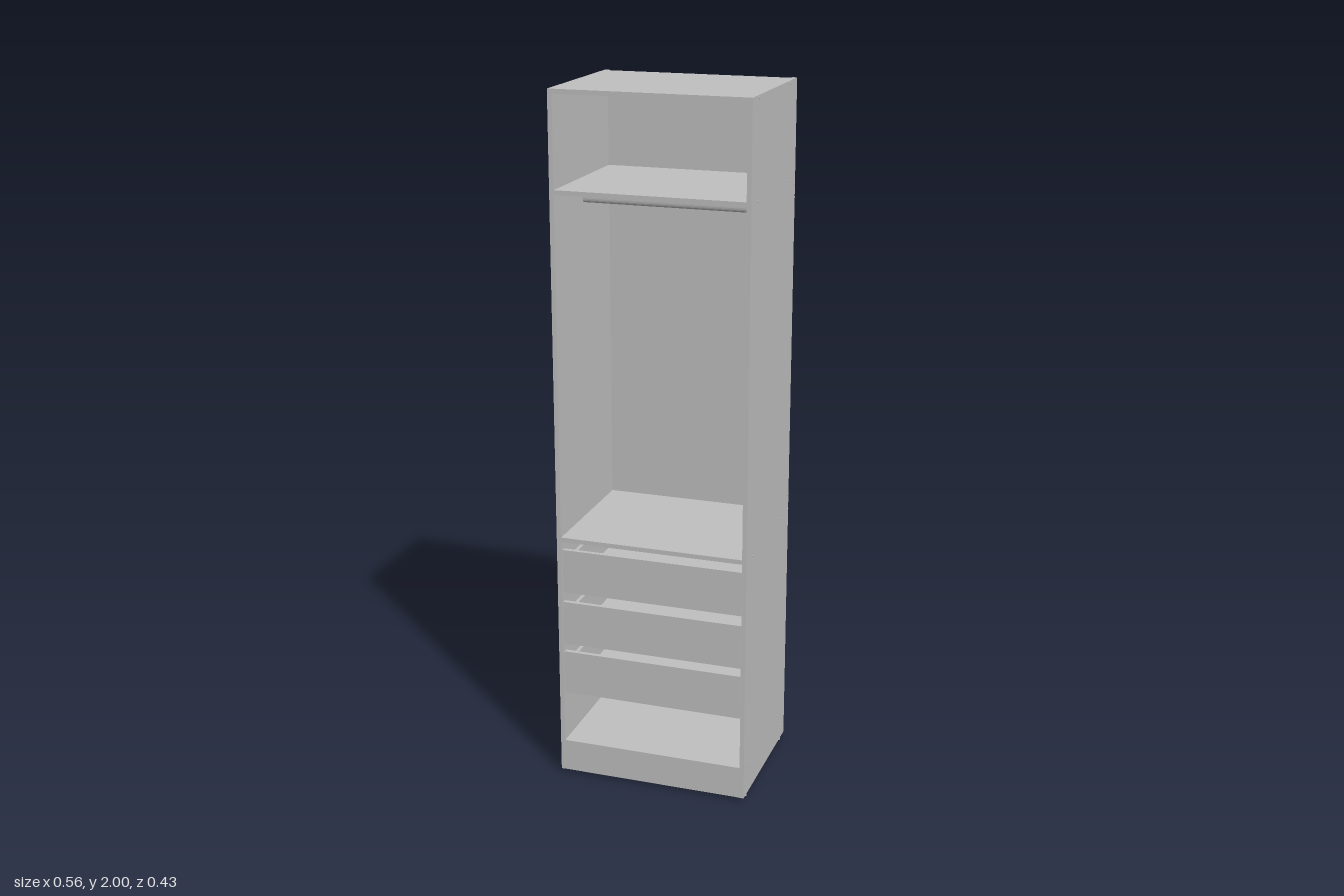
import * as THREE from 'three';

export function createModel() {
  const model = new THREE.Group();
  model.name = 'wardrobe';
  const grey = new THREE.MeshStandardMaterial({ color: 0xc0c0c0 });
  grey.name = 'light grey board';

  const T = 0.013; // board thickness
  const HALF = 0.28, INNER = HALF - T;
  const FRONT = 0.215, BACK = -0.216, BACK_PANEL = -0.2;

  // box given by its extents on each axis
  function board(name, x0, x1, y0, y1, z0, z1, parent = model) {
    const mesh = new THREE.Mesh(new THREE.BoxGeometry(x1 - x0, y1 - y0, z1 - z0), grey);
    mesh.position.set((x0 + x1) / 2, (y0 + y1) / 2, (z0 + z1) / 2);
    mesh.name = name;
    parent.add(mesh);
    return mesh;
  }

  // small cylinder along a chosen axis
  function peg(name, r, length, axis, x, y, z) {
    const geo = new THREE.CylinderGeometry(r, r, length, 12);
    if (axis === 'x') geo.rotateZ(Math.PI / 2);
    if (axis === 'z') geo.rotateX(Math.PI / 2);
    const mesh = new THREE.Mesh(geo, grey);
    mesh.position.set(x, y, z);
    mesh.name = name;
    model.add(mesh);
  }

  // side panels with feet and screw caps
  for (const s of [-1, 1]) {
    const side = s > 0 ? 'left' : 'right';
    board(side + 'SidePanel', s > 0 ? INNER : -HALF, s > 0 ? HALF : -INNER, 0.01, 2, BACK, FRONT + 0.001);
    for (const z of [-0.18, 0.18]) peg('foot', 0.005, 0.011, 'y', s * 0.274, 0.0055, z);
    for (const y of [1.993, 1.727, 0.737, 0.098])
      for (const z of [-0.145, 0.16]) peg('sideScrewCap', 0.003, 0.003, 'x', s * HALF, y, z);
    for (const y of [1.71, 1.67, 0.79, 0.745]) peg('stretcherScrewCap', 0.003, 0.003, 'x', s * HALF, y, -0.209);
    for (const z of [-0.18, 0.205]) peg('plinthScrewCap', 0.003, 0.003, 'x', s * HALF, 0.05, z);
    // screws holding the back panels
    for (const y of [1.95, 1.77, 1.62, 1.22, 0.83, 0.69, 0.41, 0.15])
      peg('backScrew', 0.004, 0.006, 'z', s * 0.263, y, BACK_PANEL - 0.006);
  }

  // top, fixed shelves and bottom
  const shelves = { topPanel: 1.987, upperShelf: 1.72, middleShelf: 0.73, bottomShelf: 0.092 };
  for (const [name, y] of Object.entries(shelves))
    board(name, -INNER, INNER, y, y + T, BACK_PANEL, FRONT);

  // plinth boards
  board('frontPlinth', -INNER, INNER, 0.01, 0.092, FRONT - T, FRONT);
  board('backPlinth', -INNER, INNER, 0.01, 0.092, -0.185, -0.185 + T);

  // back panel, its joint strip and the stretchers behind it
  board('backPanel', -INNER, INNER, 0.088, 2, BACK_PANEL - 0.003, BACK_PANEL);
  board('backJointStrip', -0.005, 0.005, 0.088, 2, BACK_PANEL - 0.005, BACK_PANEL - 0.003);
  for (const y of [1.985, 0.1]) peg('jointScrew', 0.004, 0.004, 'z', 0, y, BACK_PANEL - 0.006);
  for (const y of [1.648, 0.726])
    board('backStretcher', -INNER, INNER, y, y + 0.086, BACK, BACK_PANEL - 0.003);

  // oval hanging rail
  const oval = new THREE.Shape();
  oval.absellipse(0, 0, 0.007, 0.015, 0, Math.PI * 2);
  const railGeo = new THREE.ExtrudeGeometry(oval, { depth: 2 * INNER, bevelEnabled: false, curveSegments: 12 });
  railGeo.translate(0, 0, -INNER).rotateY(Math.PI / 2);
  const rail = new THREE.Mesh(railGeo, grey);
  rail.position.set(0, 1.677, 0);
  rail.name = 'hangingRail';
  model.add(rail);

  // three open drawers
  for (const y of [0.575, 0.415, 0.26]) {
    const drawer = new THREE.Group();
    drawer.name = 'drawer';
    const w = 0.255, zf = FRONT - T - 0.002, zb = -0.17;
    board('drawerFront', -0.265, 0.265, y, y + 0.13, zf, FRONT - 0.002, drawer);
    for (const s of [-1, 1])
      board('drawerSide', s > 0 ? w - 0.01 : -w, s > 0 ? w : -w + 0.01, y + 0.012, y + 0.105, zb, zf, drawer);
    board('drawerBack', -w + 0.01, w - 0.01, y + 0.012, y + 0.105, zb, zb + 0.01, drawer);
    board('drawerBottom', -w + 0.01, w - 0.01, y + 0.016, y + 0.02, zb + 0.01, zf, drawer);
    model.add(drawer);
  }

  return model;
}
